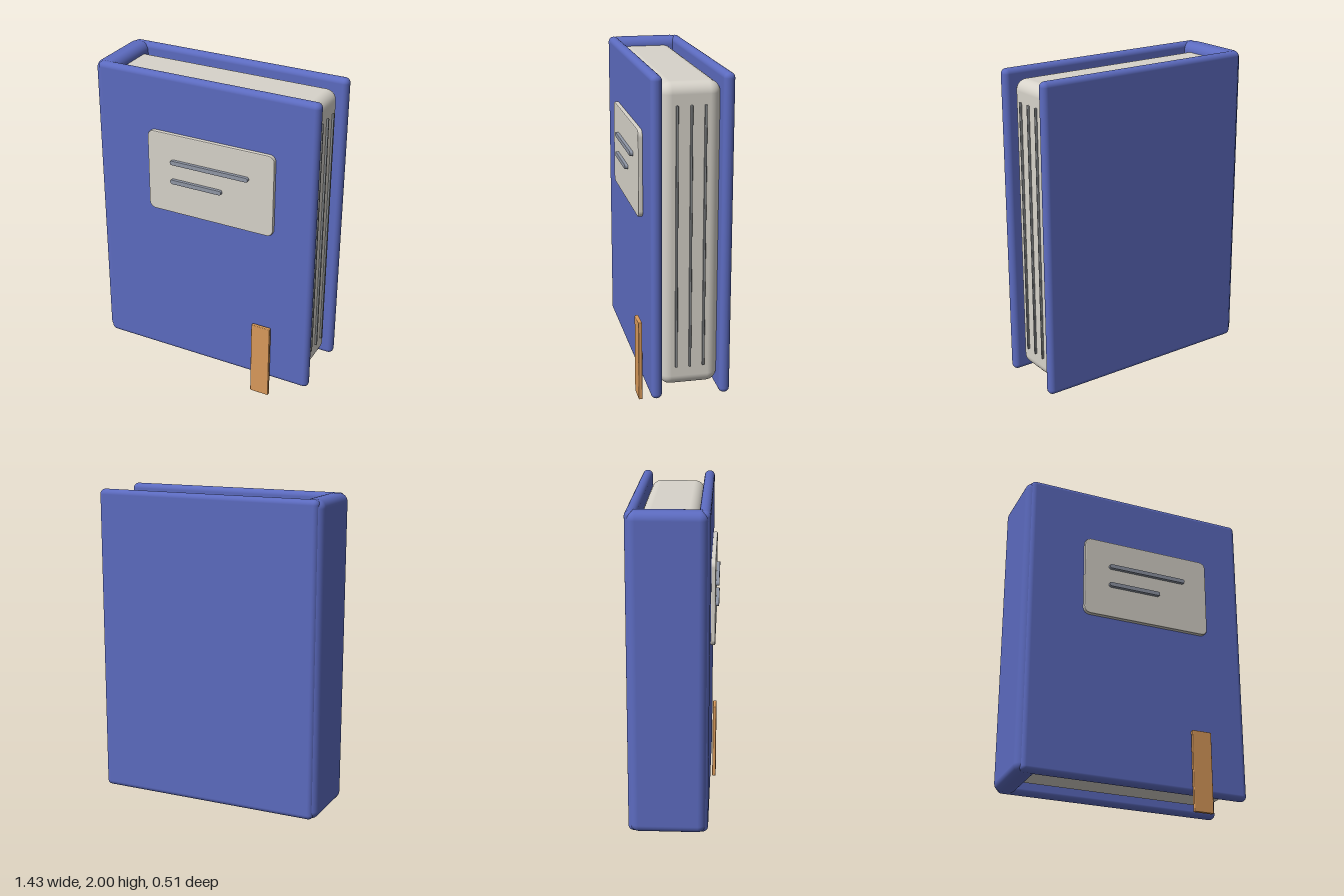
import * as THREE from 'three';
import { RoundedBoxGeometry } from 'three/addons/geometries/RoundedBoxGeometry.js';

const material = (color) => new THREE.MeshStandardMaterial({ color });

// Rounded box given by its [min, max] range on each axis
function block(name, [x0, x1], [y0, y1], [z0, z1], radius, mat, segments = 4) {
  const geometry = new RoundedBoxGeometry(x1 - x0, y1 - y0, z1 - z0, segments, radius);
  const mesh = new THREE.Mesh(geometry, mat);
  mesh.name = name;
  mesh.position.set((x0 + x1) / 2, (y0 + y1) / 2, (z0 + z1) / 2);
  return mesh;
}

// Thin plate facing +z with rounded corners and a fine bevel
function plate(name, [x0, x1], [y0, y1], [z0, z1], radius, bevel, mat) {
  const w = (x1 - x0) / 2 - bevel, h = (y1 - y0) / 2 - bevel, r = radius - bevel;
  const shape = new THREE.Shape();
  shape.absarc(w - r, h - r, r, 0, Math.PI / 2);
  shape.absarc(-w + r, h - r, r, Math.PI / 2, Math.PI);
  shape.absarc(-w + r, -h + r, r, Math.PI, Math.PI * 1.5);
  shape.absarc(w - r, -h + r, r, Math.PI * 1.5, Math.PI * 2);
  const geometry = new THREE.ExtrudeGeometry(shape, {
    depth: z1 - z0 - 2 * bevel, bevelSize: bevel, bevelThickness: bevel,
    bevelSegments: 2, curveSegments: 6,
  });
  const mesh = new THREE.Mesh(geometry, mat);
  mesh.name = name;
  mesh.position.set((x0 + x1) / 2, (y0 + y1) / 2, z0 + bevel);
  return mesh;
}

export function createModel() {
  const book = new THREE.Group();
  book.name = 'book';
  const cloth = material(0x5c6bc0);
  const paper = material(0xd7d3ca);
  const ink = material(0x9097a6);
  const edge = material(0x85888a);
  const ribbon = material(0xd99a5b);

  // Covers and spine
  const height = [0.115, 2];
  book.add(
    block('frontCover', [-0.69, 0.715], height, [0.145, 0.209], 0.031, cloth),
    block('backCover', [-0.69, 0.715], height, [-0.255, -0.191], 0.031, cloth),
    block('spine', [-0.715, -0.58], height, [-0.245, 0.199], 0.05, cloth),
  );

  // Page block with grooves along the fore edge
  book.add(block('pages', [-0.65, 0.667], [0.168, 1.948], [-0.194, 0.148], 0.065, paper, 6));
  for (const z of [-0.102, -0.023, 0.057]) {
    book.add(block('pageLine', [0.655, 0.679], [0.29, 1.825], [z - 0.007, z + 0.007], 0.005, edge, 2));
  }

  // Cover label with two raised bars
  book.add(plate('label', [-0.345, 0.47], [1.14, 1.652], [0.207, 0.235], 0.04, 0.006, paper));
  for (const [x1, y] of [[0.315, 1.478], [0.145, 1.354]]) {
    book.add(plate('labelLine', [-0.19, x1], [y - 0.014, y + 0.014], [0.23, 0.254], 0.0135, 0.003, ink));
  }

  // Bookmark ribbon hanging below the front cover
  book.add(block('bookmark', [0.347, 0.47], [0, 0.497], [0.217, 0.24], 0.005, ribbon, 2));
  return book;
}
